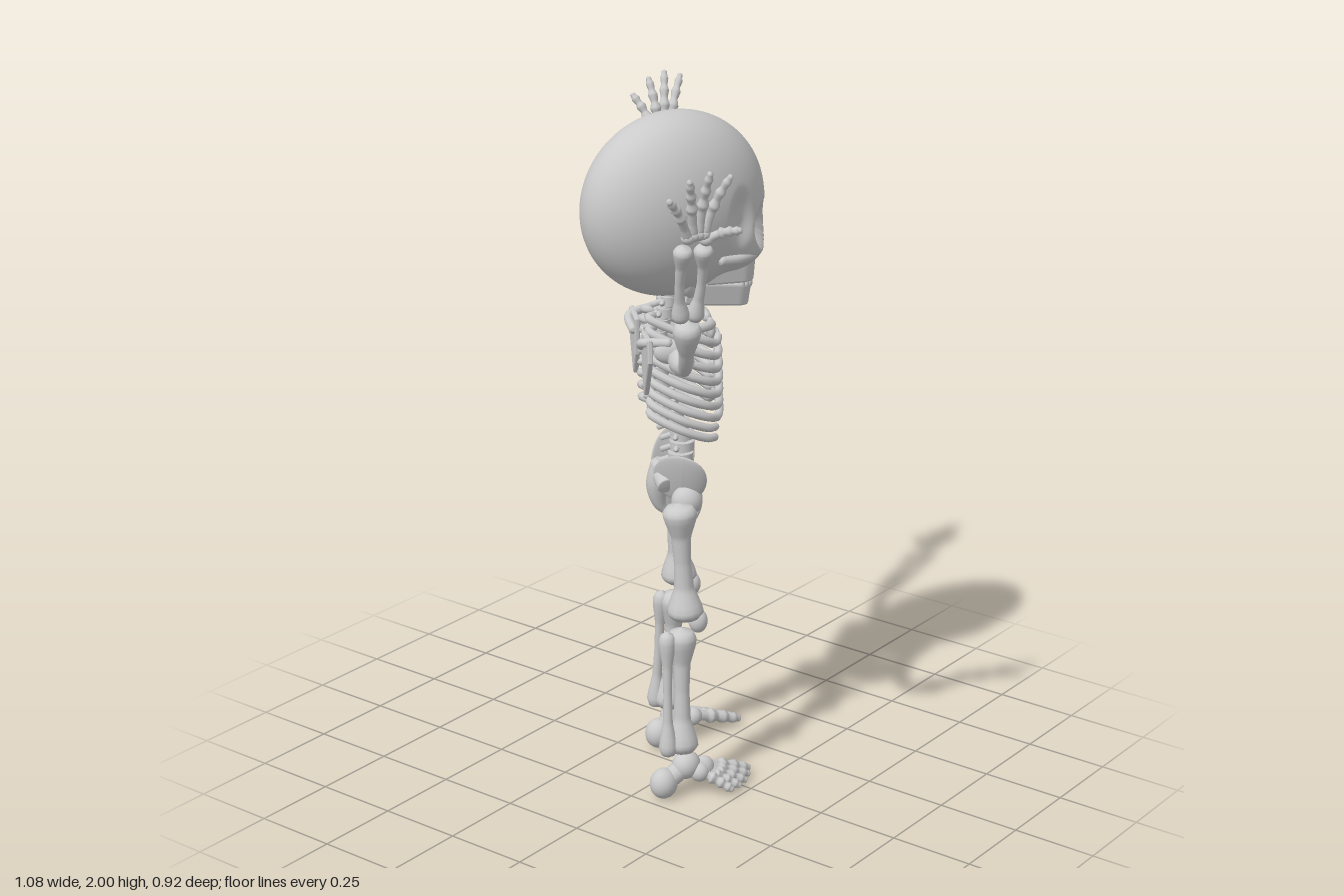
import * as THREE from 'three';
import { mergeVertices } from 'three/addons/utils/BufferGeometryUtils.js';

const V = (p) => new THREE.Vector3(...p);
const boneMat = new THREE.MeshStandardMaterial({ color: 0xcacaca, side: THREE.DoubleSide });
boneMat.name = 'bone grey';

// Radius profiles as [t, radius] pairs; closed at both ends
const LONG = [[0, 0], [0.02, 0.7], [0.07, 1], [0.13, 0.95], [0.28, 0.58], [0.5, 0.5], [0.72, 0.58], [0.87, 1], [0.93, 1.08], [0.98, 0.75], [1, 0]];
const ROD = [[0, 0], [0.02, 0.8], [0.06, 1], [0.94, 1], [0.98, 0.8], [1, 0]];
const FINGER = [[0, 0], [0.05, 1], [0.2, 0.75], [0.38, 0.75], [0.45, 1.1], [0.56, 0.65], [0.68, 0.95], [0.76, 0.6], [0.87, 0.8], [0.92, 0.55], [0.98, 0.5], [1, 0]];

function sample(profile, t) {
  let i = 1;
  while (i < profile.length - 1 && profile[i][0] < t) i++;
  const [t0, r0] = profile[i - 1], [t1, r1] = profile[i];
  return r0 + (r1 - r0) * THREE.MathUtils.clamp((t - t0) / (t1 - t0), 0, 1);
}

function add(parent, name, geo) {
  const m = new THREE.Mesh(geo, boneMat);
  m.name = name;
  parent.add(m);
  return m;
}

// Smooth bone along a path with a varying radius
function bone(parent, name, pts, r, profile = LONG, seg = 40, sides = 12) {
  const curve = new THREE.CatmullRomCurve3(pts.map(V));
  let g = new THREE.TubeGeometry(curve, seg, 1, sides);
  const pos = g.attributes.position, v = new THREE.Vector3();
  for (let i = 0; i < pos.count; i++) {
    const t = Math.floor(i / (sides + 1)) / seg, c = curve.getPointAt(t);
    v.fromBufferAttribute(pos, i).sub(c).multiplyScalar(Math.max(r * sample(profile, t), 0.0005)).add(c);
    pos.setXYZ(i, v.x, v.y, v.z);
  }
  g.deleteAttribute('uv');
  g.deleteAttribute('normal');
  g = mergeVertices(g, 1e-6);
  g.computeVertexNormals();
  add(parent, name, g);
}

function ball(parent, name, p, s) {
  const m = add(parent, name, new THREE.SphereGeometry(1, 20, 14));
  m.position.set(...p);
  m.scale.set(...s);
}

function group(parent, name, p, yawDeg) {
  const g = new THREE.Group();
  g.name = name;
  g.position.set(...p);
  g.rotation.y = THREE.MathUtils.degToRad(yawDeg);
  parent.add(g);
  return g;
}

// Distance from o along d to the surface of an ellipsoid around o
function reach(o, d, c, s) {
  const p = o.clone().sub(V(c)).divide(V(s)), q = d.clone().divide(V(s));
  const a = q.dot(q), b = p.dot(q);
  return (-b + Math.sqrt(b * b - a * (p.dot(p) - 1))) / a;
}

// Braincase and face blended into one surface, with sockets drawn inwards
function skullShell(parent) {
  const hollows = [1, -1].map((s) => ({ at: [s * 0.078, -0.08, 0.245], size: [0.06, 0.073, 0.11], apex: [s * 0.04, -0.085, 0.12], depth: 0.8 }));
  hollows.push({ at: [0, -0.175, 0.28], size: [0.028, 0.036, 0.06], apex: [0, -0.16, 0.16], depth: 0.5 });
  const o = V([0, -0.04, 0.06]), { smoothstep } = THREE.MathUtils;
  let g = new THREE.SphereGeometry(1, 160, 110);
  g.deleteAttribute('uv');
  g.deleteAttribute('normal');
  g = mergeVertices(g, 1e-5);
  const pos = g.attributes.position;
  for (let i = 0; i < pos.count; i++) {
    const d = new THREE.Vector3().fromBufferAttribute(pos, i).normalize();
    const a = reach(o, d, [0, 0, 0], [0.17, 0.26, 0.286]), b = reach(o, d, [0, -0.1, 0.16], [0.13, 0.14, 0.135]);
    const v = d.multiplyScalar((a ** 16 + b ** 16) ** (1 / 16)).add(o);
    // narrow the face below the cheeks and press in the temples
    v.x *= 1 - 0.35 * smoothstep(-v.y, 0.15, 0.25) * smoothstep(v.z, 0.05, 0.15);
    v.x *= 1 - 0.12 * (1 - smoothstep(Math.hypot((v.y + 0.03) / 0.1, (v.z - 0.13) / 0.06), 0.2, 1));
    for (const { at, size, apex, depth } of hollows) {
      const k = v.clone().sub(V(at)).divide(V(size)).length();
      v.lerp(V(apex), depth * (1 - smoothstep(k, 0.6, 1.05)));
    }
    pos.setXYZ(i, v.x, v.y, v.z);
  }
  g.computeVertexNormals();
  add(parent, 'skullShell', g);
}

// U-shaped jaw block, opening to the back
function arch(parent, name, w, back, front, top, h, t, pitch) {
  const s = new THREE.Shape(), mid = front - w;
  s.moveTo(w, back);
  s.lineTo(w, mid);
  s.absellipse(0, mid, w, w, 0, Math.PI, false);
  s.lineTo(-w, back);
  s.lineTo(-w + t, back);
  s.lineTo(-w + t, mid);
  s.absellipse(0, mid, w - t, w - t, Math.PI, 0, true);
  s.lineTo(w - t, back);
  const g = new THREE.ExtrudeGeometry(s, { depth: h, bevelSize: 0.006, bevelThickness: 0.006, bevelSegments: 2, curveSegments: 16 });
  g.rotateX(Math.PI / 2);
  const m = add(parent, name, g);
  m.position.y = top;
  m.rotation.x = pitch;
}

function buildSkull(root) {
  const head = group(root, 'skull', [-0.035, 1.74, -0.01], 72);
  skullShell(head);
  arch(head, 'upperJaw', 0.068, 0.08, 0.262, -0.16, 0.06, 0.045, 0.1);
  arch(head, 'lowerJaw', 0.066, 0.01, 0.25, -0.222, 0.05, 0.018, 0.18);
  for (let i = 0; i < 12; i++) {
    const a = Math.PI * (i + 0.5) / 12, x = 0.063 * Math.cos(a), z = 0.185 + 0.066 * Math.sin(a);
    ball(head, 'upperTooth', [x, -0.216 - 0.1 * z, z], [0.0085, 0.016, 0.0085]);
    ball(head, 'lowerTooth', [x, -0.216 - 0.18 * z, z], [0.008, 0.014, 0.008]);
  }
  for (const s of [1, -1]) {
    bone(head, 'jawBranch', [[s * 0.06, -0.25, 0.02], [s * 0.072, -0.22, 0], [s * 0.085, -0.16, 0.01]], 0.02, ROD);
    bone(head, 'cheekArch', [[s * 0.09, -0.16, 0.215], [s * 0.126, -0.155, 0.14], [s * 0.136, -0.145, 0.06]], 0.014, ROD);
  }
}

function buildTorso(root) {
  const t = group(root, 'torso', [0, 0, 0], 47);
  // Spine
  const spine = [[0, 0.92, -0.02], [0, 1.05, -0.005], [0, 1.18, -0.055], [0, 1.32, -0.075], [0, 1.43, -0.05], [0, 1.52, -0.02]];
  const path = new THREE.CatmullRomCurve3(spine.map(V));
  bone(t, 'spinalCore', spine, 0.018, ROD);
  for (let i = 0; i < 19; i++) {
    const k = i / 18, p = path.getPointAt(k), r = 0.039 - 0.018 * k;
    add(t, 'vertebra', new THREE.CylinderGeometry(r, r, 0.026, 16)).position.copy(p);
    bone(t, 'spinousProcess', [[0, p.y, p.z - r * 0.6], [0, p.y - 0.012, p.z - r - 0.028]], 0.009, ROD, 10, 8);
    bone(t, 'transverseProcess', [[-r - 0.016, p.y, p.z - 0.025], [0, p.y, p.z - 0.016], [r + 0.016, p.y, p.z - 0.025]], 0.008, ROD, 12, 8);
  }
  // Breastbone
  ball(t, 'breastboneTop', [0, 1.365, 0.078], [0.033, 0.032, 0.013]);
  ball(t, 'breastbone', [0, 1.265, 0.098], [0.022, 0.1, 0.012]);
  for (const s of [1, -1]) {
    // Ribs, widest near the sixth; the last two float free
    for (let i = 0; i < 9; i++) {
      const y = 1.42 - 0.034 * i, w = 0.15 - 0.0027 * (i - 5.3) ** 2;
      const pts = [[s * 0.02, y, -0.08], [s * w * 0.6, y, -0.108], [s * w, y - 0.035, -0.03], [s * w * 0.9, y - 0.068, 0.05]];
      if (i < 7) pts.push([s * w * 0.5, y - 0.083, 0.088], [s * 0.015, Math.max(y - 0.06, 1.185), 0.098]);
      else pts.push([s * w * 0.65, y - 0.076, 0.083]);
      bone(t, 'rib', pts, 0.012, ROD, 36, 8);
    }
    // Shoulder girdle
    bone(t, 'collarbone', [[s * 0.02, 1.385, 0.075], [s * 0.08, 1.4, 0.06], [s * 0.13, 1.395, -0.01], [s * 0.17, 1.375, -0.03]], 0.014, ROD);
    const blade = new THREE.Shape([[0.06, 1.38], [0.165, 1.385], [0.17, 1.33], [0.1, 1.22], [0.07, 1.28]].map(([x, y]) => new THREE.Vector2(s * x, y)));
    add(t, 'shoulderBlade', new THREE.ExtrudeGeometry(blade, { depth: 0.008, bevelSize: 0.006, bevelThickness: 0.004, bevelSegments: 2 })).position.z = -0.125;
    bone(t, 'bladeRidge', [[s * 0.065, 1.345, -0.13], [s * 0.13, 1.375, -0.135], [s * 0.175, 1.385, -0.06]], 0.013, ROD);
    ball(t, 'shoulderSocket', [s * 0.16, 1.355, -0.06], [0.025, 0.035, 0.05]);
  }
}

function buildPelvis(root) {
  const p = group(root, 'pelvis', [0, 0.92, -0.01], 45);
  bone(p, 'sacrum', [[0, 0.05, -0.03], [0, -0.02, -0.065], [0, -0.08, -0.06], [0, -0.11, -0.035]], 0.05, [[0, 0], [0.04, 0.8], [0.15, 1], [0.6, 0.55], [0.95, 0.2], [1, 0]]);
  ball(p, 'pubicJoint', [0, -0.065, 0.05], [0.025, 0.022, 0.014]);
  for (const s of [1, -1]) {
    // Flared, cupped hip wing
    const g = new THREE.SphereGeometry(1, 32, 24), pos = g.attributes.position;
    for (let i = 0; i < pos.count; i++) {
      const x = s * pos.getX(i), y = pos.getY(i), z = pos.getZ(i);
      pos.setXYZ(i, s * (0.098 + x * 0.013 + 0.035 * y - 0.02 * z * z + 0.05 * z), 0.03 + 0.08 * y, -0.012 + z * 0.07);
    }
    g.computeVertexNormals();
    add(p, 'hipWing', g);
    ball(p, 'hipSocket', [s * 0.1, -0.035, 0.005], [0.04, 0.045, 0.045]);
    bone(p, 'sacralJoint', [[s * 0.03, 0.02, -0.06], [s * 0.075, 0, -0.05]], 0.026, ROD);
    const ring = add(p, 'seatRing', new THREE.TorusGeometry(0.036, 0.013, 10, 24));
    ring.position.set(s * 0.055, -0.08, 0.025);
    ring.rotation.set(0.25, s * 0.6, 0);
  }
}

// Joint positions; the pose differs between the sides
const RIGHT = {
  shoulder: [-0.145, 1.345, 0.1], elbow: [-0.345, 1.53, 0.277], wrist: [-0.396, 1.775, 0.338],
  pinky: [-0.54, 1.915, 0.365], index: [-0.372, 1.96, 0.44], thumb: [-0.345, 1.81, 0.455],
  hip: [-0.118, 0.895, 0.075], knee: [-0.105, 0.535, 0.09], shin: [-0.135, 0.125, 0.1], fibulaShift: [-0.047, 0, -0.016],
  heel: [-0.198, 0.048, 0.08], ankle: [-0.13, 0.09, 0.11], bigToe: [0.082, 0.018, 0.185], littleToe: [-0.065, 0.018, 0.235],
};
const LEFT = {
  shoulder: [0.105, 1.345, -0.125], elbow: [0.283, 1.53, -0.286], wrist: [0.372, 1.775, -0.355],
  pinky: [0.352, 1.915, -0.46], index: [0.51, 1.955, -0.4], thumb: [0.54, 1.815, -0.355],
  hip: [0.078, 0.895, -0.1], knee: [0.1, 0.535, -0.09], shin: [0.085, 0.125, -0.12], fibulaShift: [-0.023, 0, -0.033],
  heel: [0.055, 0.048, -0.135], ankle: [0.11, 0.09, -0.12], bigToe: [0.335, 0.018, -0.035], littleToe: [0.31, 0.018, -0.148],
};
const mix = (a, b, k, dy = 0) => [a[0] + (b[0] - a[0]) * k, a[1] + (b[1] - a[1]) * k + dy, a[2] + (b[2] - a[2]) * k];
const shift = (a, b, k = 1) => a.map((n, i) => n + b[i] * k);

function buildArm(root, name, { shoulder, elbow, wrist, pinky, index, thumb }) {
  const arm = group(root, name, [0, 0, 0], 0);
  bone(arm, 'upperArmBone', [shoulder, mix(shoulder, elbow, 0.3, -0.06), mix(shoulder, elbow, 0.65, -0.098), mix(shoulder, elbow, 0.88, -0.07), elbow], 0.037);
  // Paired forearm bones bowing apart
  for (const s of [1, -1]) {
    const gap = [0.022 * s, 0, 0.016 * s];
    bone(arm, s > 0 ? 'radius' : 'ulna', [shift(elbow, gap, 0.65), shift(mix(elbow, wrist, 0.45), gap, 1.1), shift(mix(elbow, wrist, 0.93), gap)], 0.025);
  }
  // Fingers spring from a broad palm
  const tips = [0, 1, 2, 3].map((i) => mix(pinky, index, i / 3, 0.035 * Math.sin(Math.PI * i / 3)));
  for (const tip of [...tips, thumb]) {
    const base = mix(wrist, tip, 0.25, -0.15 * (tip[1] - wrist[1]));
    ball(arm, 'wristBone', base, [0.019, 0.017, 0.019]);
    bone(arm, tip === thumb ? 'thumb' : 'finger', [base, mix(wrist, tip, 0.6, 0.004), tip], 0.0155, FINGER, 44, 8);
  }
}

function buildLeg(root, name, { hip, knee, shin, fibulaShift, heel, ankle, bigToe, littleToe }) {
  const leg = group(root, name, [0, 0, 0], 0);
  const shinTop = shift(knee, [-0.015, -0.02, -0.005]);
  bone(leg, 'thighBone', [hip, knee], 0.05);
  bone(leg, 'shinBone', [shinTop, shin], 0.044);
  bone(leg, 'fibula', [shift(shinTop, fibulaShift), shift(shin, fibulaShift)], 0.025);
  ball(leg, 'kneecap', shift(knee, [0.031, -0.007, 0.02]), [0.028, 0.036, 0.028]);
  ball(leg, 'heel', heel, [0.043, 0.046, 0.04]);
  ball(leg, 'ankle', ankle, [0.045, 0.042, 0.04]);
  bone(leg, 'heelBridge', [heel, ankle], 0.03, ROD);
  for (let i = 0; i < 5; i++) {
    const tip = mix(ankle, mix(bigToe, littleToe, i / 4), 1 + 0.1 * Math.sin(Math.PI * i / 4));
    ball(leg, 'tarsal', mix(ankle, tip, 0.28), [0.029, 0.029, 0.029]);
    bone(leg, 'toe', [mix(ankle, tip, 0.16), mix(ankle, tip, 0.55, 0.004), tip], i ? 0.019 : 0.022, FINGER, 44, 8);
  }
}

export function createModel() {
  const root = new THREE.Group();
  root.name = 'skeleton';
  buildSkull(root);
  buildTorso(root);
  buildPelvis(root);
  for (const [side, joints] of [['right', RIGHT], ['left', LEFT]]) {
    buildArm(root, side + 'Arm', joints);
    buildLeg(root, side + 'Leg', joints);
  }
  return root;
}
